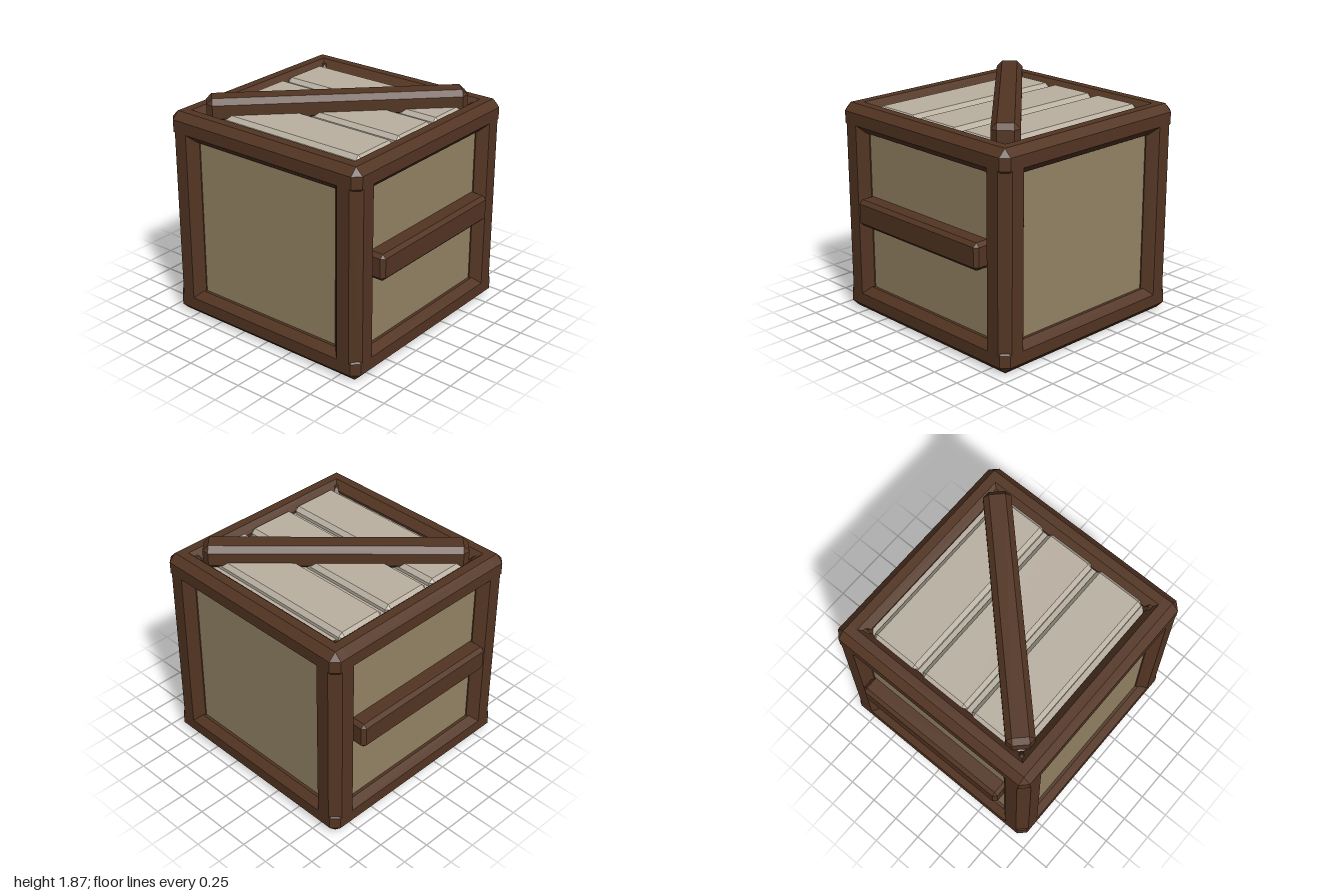
import * as THREE from 'three';
import { ConvexGeometry } from 'three/addons/geometries/ConvexGeometry.js';

const wood = new THREE.MeshStandardMaterial({ color: 0x533523 });
wood.name = 'dark brown frame wood';
const panelTan = new THREE.MeshStandardMaterial({ color: 0x968566 });
panelTan.name = 'tan panel';
const plankGrey = new THREE.MeshStandardMaterial({ color: 0xbab1a2 });
plankGrey.name = 'pale grey plank';

// Box with every edge cut at 45 degrees by c
function chamferBox(w, h, d, c) {
  const points = [];
  for (const sx of [-1, 1]) for (const sy of [-1, 1]) for (const sz of [-1, 1]) {
    for (let axis = 0; axis < 3; axis++) {
      const cut = [c, c, c];
      cut[axis] = 0;
      points.push(new THREE.Vector3(
        sx * (w / 2 - cut[0]), sy * (h / 2 - cut[1]), sz * (d / 2 - cut[2])));
    }
  }
  return new ConvexGeometry(points);
}

function add(group, name, geometry, material, x, y, z) {
  const mesh = new THREE.Mesh(geometry, material);
  mesh.name = name;
  mesh.position.set(x, y, z);
  group.add(mesh);
  return mesh;
}

export function createModel() {
  const crate = new THREE.Group();
  crate.name = 'crate';
  const out = 0.945;

  // Inner body: tan walls and floor, grey lid base
  add(crate, 'innerBody', new THREE.BoxGeometry(1.72, 1.6, 1.72),
    [panelTan, panelTan, plankGrey, panelTan, panelTan, panelTan], 0, 0.88, 0);

  // Corner posts
  const post = chamferBox(0.265, 1.7, 0.265, 0.075);
  for (const sx of [-1, 1]) for (const sz of [-1, 1]) {
    add(crate, 'cornerPost', post, wood, sx * (out - 0.1325), 0.88, sz * (out - 0.1325));
  }

  // Top and bottom rails
  const railX = chamferBox(2 * out, 0.22, 0.195, 0.06);
  const railZ = chamferBox(0.195, 0.22, 2 * out, 0.06);
  for (const y of [0.11, 1.65]) for (const s of [-1, 1]) {
    add(crate, s > 0 ? 'frontRail' : 'backRail', railX, wood, 0, y, s * (out - 0.0975));
    add(crate, s > 0 ? 'leftRail' : 'rightRail', railZ, wood, s * (out - 0.0975), y, 0);
  }

  // Handle bars on front and back
  const bar = chamferBox(1.4, 0.22, 0.2, 0.03);
  for (const s of [-1, 1]) add(crate, s > 0 ? 'frontBar' : 'backBar', bar, wood, 0, 0.9, s * 0.9);

  // Lid planks
  const plank = chamferBox(0.437, 0.14, 1.54, 0.033);
  for (const i of [-1, 0, 1]) add(crate, 'lidPlank', plank, plankGrey, i * 0.484, 1.67, 0);

  // Diagonal brace across the lid
  const brace = add(crate, 'lidBrace', chamferBox(2.06, 0.2, 0.22, 0.045), wood, 0, 1.77, 0);
  brace.rotation.y = -Math.PI / 4;

  return crate;
}
